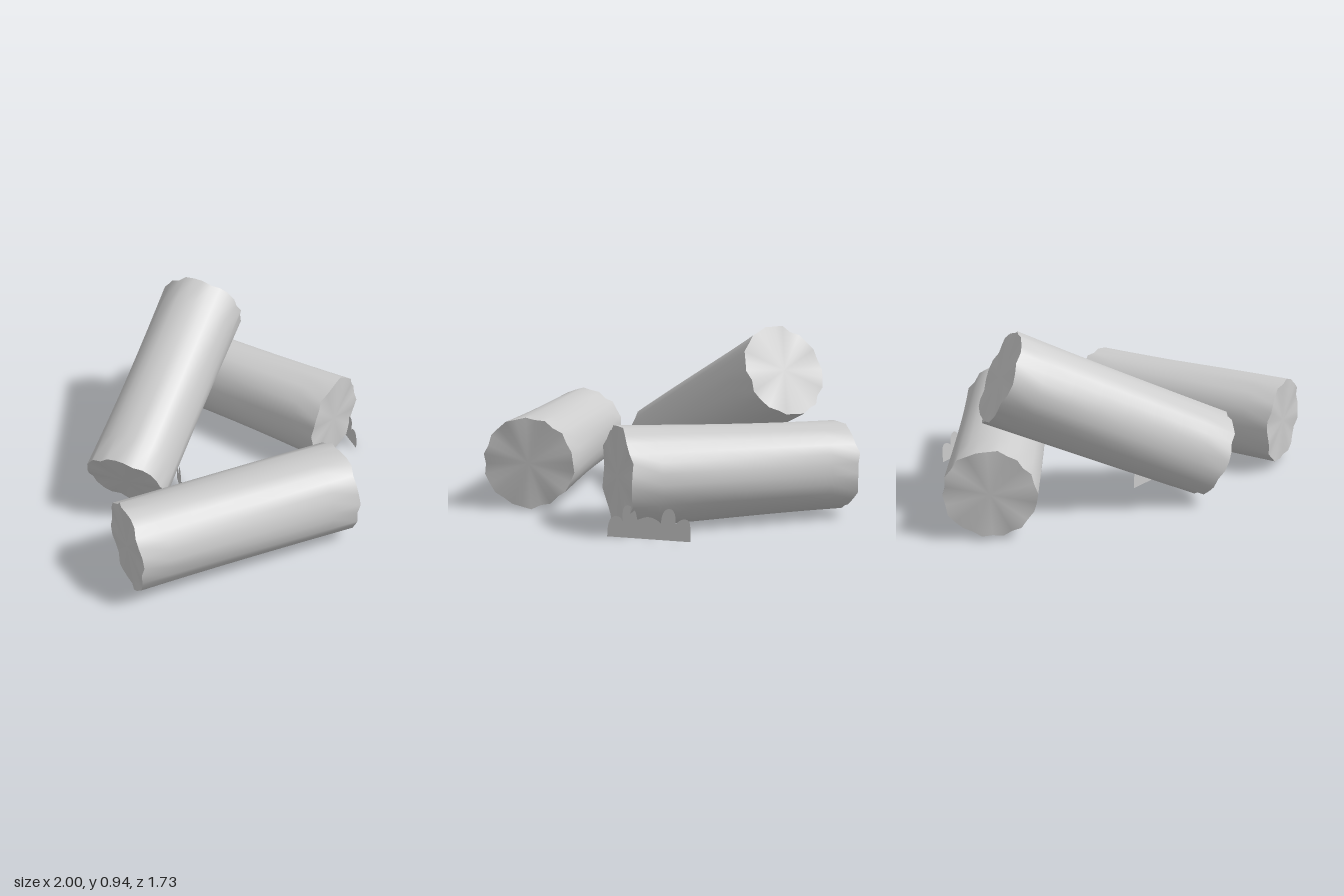
import * as THREE from 'three';

const V = (x, y, z) => new THREE.Vector3(x, y, z);
const SEGS = 28, RINGS = 8;

function meshGeometry(points, index) {
  const g = new THREE.BufferGeometry().setFromPoints(points);
  g.setIndex(index);
  g.computeVertexNormals();
  return g;
}

// Log from centre of one end to centre of the other, with scalloped rims
function makeLog(name, from, to, r0, r1, seed, material) {
  const length = from.distanceTo(to);
  const point = (ring, i) => {
    const t = ring / RINGS, a = ((i % SEGS) / SEGS) * Math.PI * 2;
    const end = Math.pow(Math.abs(2 * t - 1), 2);
    const scallop = (i % 2) * (0.012 + 0.025 * end) * (1 + 0.5 * Math.sin(a * 3 + seed));
    const wobble = 0.012 * Math.sin(a * 5 + seed * 2 + t * 3) + 0.01 * Math.sin(a * 2 - t * 4 + seed);
    const r = (r0 + (r1 - r0) * t) * (1 - scallop + wobble - 0.02 * (1 - end));
    const ragged = end > 0.99 ? 0.007 * Math.sin(a * 7 + seed * 3) : 0;
    return V(r * Math.cos(a), t * length + ragged, r * Math.sin(a));
  };
  const ringPoints = (ring) => Array.from({ length: SEGS }, (_, i) => point(ring, i));

  // Bark
  const pts = [], idx = [];
  for (let j = 0; j <= RINGS; j++) pts.push(...ringPoints(j));
  for (let j = 0; j < RINGS; j++) {
    for (let i = 0; i < SEGS; i++) {
      const n = (i + 1) % SEGS, a = j * SEGS + i, b = j * SEGS + n;
      idx.push(a, a + SEGS, b, b, a + SEGS, b + SEGS);
    }
  }
  const log = new THREE.Group();
  log.name = name;
  const bark = new THREE.Mesh(meshGeometry(pts, idx), material);
  bark.name = 'bark';
  log.add(bark);

  // Cut ends
  for (const ring of [0, RINGS]) {
    const capIdx = [];
    for (let i = 0; i < SEGS; i++) {
      const n = (i + 1) % SEGS;
      capIdx.push(SEGS, ...(ring ? [n, i] : [i, n]));
    }
    const centre = V(0, ring ? length : 0, 0);
    const cap = new THREE.Mesh(meshGeometry([...ringPoints(ring), centre], capIdx), material);
    cap.name = 'cutEnd';
    log.add(cap);
  }
  log.position.copy(from);
  log.quaternion.setFromUnitVectors(V(0, 1, 0), to.clone().sub(from).normalize());
  return log;
}

// Flat upright tuft of rounded leaves, 0.4 wide
function makeTuft(name, x, z, angle, material) {
  const shape = new THREE.Shape();
  shape.moveTo(-0.2, 0);
  // Each leaf: left foot, tip, right foot, tip height, foot height
  const leaves = [
    [-0.2, -0.155, -0.125, 0.1, 0.07],
    [-0.125, -0.1, -0.055, 0.155, 0.09],
    [-0.055, 0.0, 0.06, 0.105, 0.075],
    [0.06, 0.1, 0.13, 0.15, 0.075],
    [0.13, 0.175, 0.2, 0.105, 0],
  ];
  for (const [l, tip, r, h, foot] of leaves) {
    shape.bezierCurveTo(l, h * 0.8, tip - 0.025, h, tip, h);
    shape.bezierCurveTo(tip + 0.025, h, r, h * 0.8, r, foot);
  }
  shape.closePath();
  const tuft = new THREE.Mesh(new THREE.ShapeGeometry(shape, 6), material);
  tuft.name = name;
  tuft.position.set(x, 0, z);
  tuft.rotation.y = angle;
  return tuft;
}

export function createModel() {
  const wood = new THREE.MeshStandardMaterial({ color: 0xcccccc, side: THREE.DoubleSide });
  wood.name = 'paleGrey';
  const model = new THREE.Group();
  model.name = 'logPile';
  model.add(
    makeLog('frontLog', V(-0.89, 0.255, 0.09), V(0.15, 0.245, 0.66), 0.23, 0.24, 1.3, wood),
    makeLog('sideLog', V(0.62, 0.24, -0.85), V(0.65, 0.255, 0.33), 0.227, 0.245, 2.6, wood),
    makeLog('leaningLog', V(-0.465, 0.215, -0.28), V(0.585, 0.73, -0.56), 0.23, 0.24, 4.1, wood),
    makeTuft('outerTuft', 0.89, 0.25, 0.997, wood),
    makeTuft('innerTuft', -0.2, -0.105, 0.85, wood),
  );
  return model;
}
